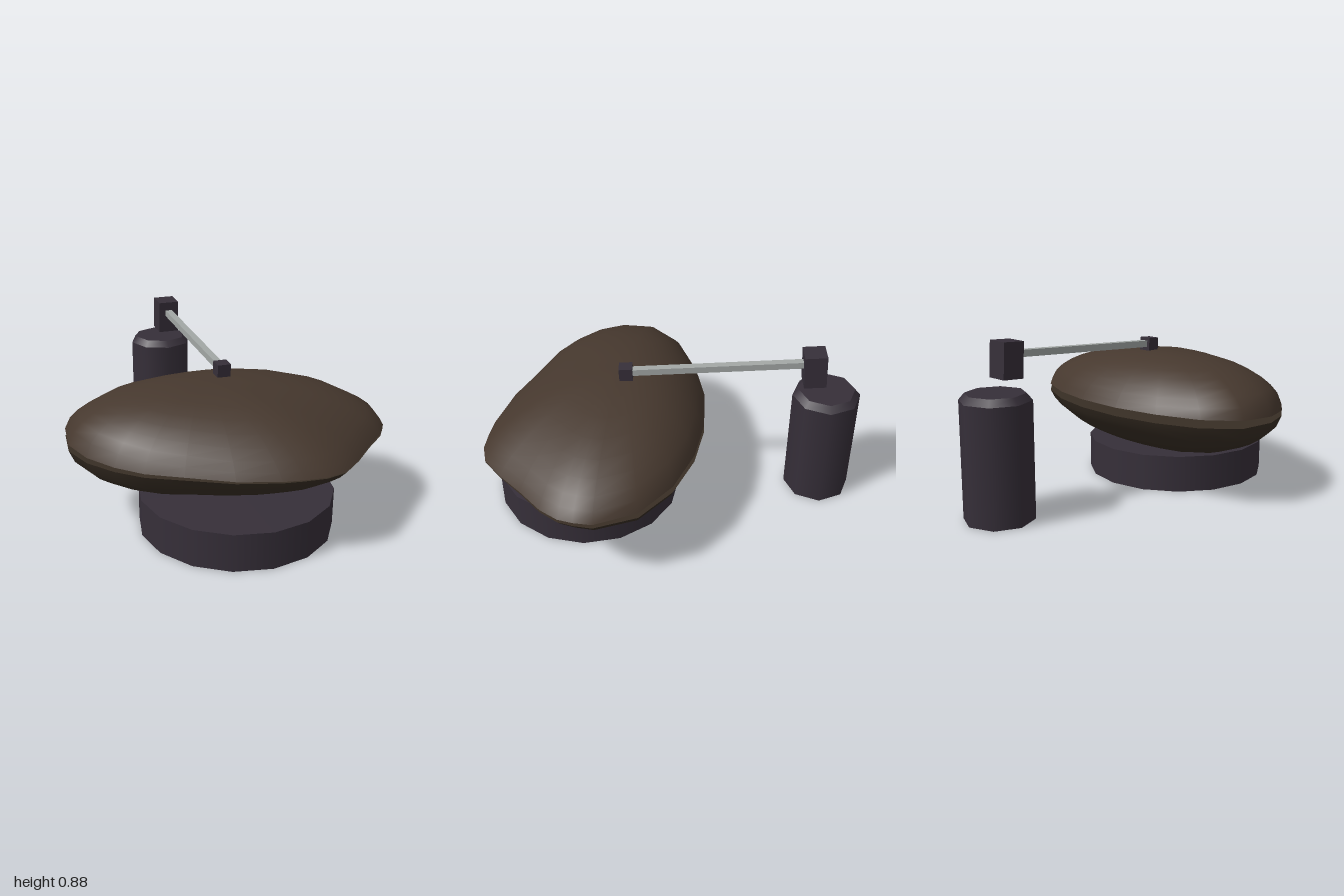
import * as THREE from 'three';

const mat = (name, color, side = THREE.FrontSide) => {
  const m = new THREE.MeshStandardMaterial({ color, side });
  m.name = name;
  return m;
};

// Shell rim in plan (x, z), running from the left end round the back
const RIM = [
  [-0.81, 0.16], [-0.76, -0.03], [-0.59, -0.155], [-0.35, -0.205], [-0.1, -0.21], [0.17, -0.16],
  [0.4, -0.07], [0.61, 0.07], [0.765, 0.26], [0.805, 0.48], [0.775, 0.57], [0.74, 0.64],
  [0.66, 0.72], [0.52, 0.81], [0.38, 0.91], [0.25, 0.985], [0.14, 0.995], [0.03, 0.97],
  [-0.07, 0.94], [-0.26, 0.85], [-0.45, 0.71], [-0.6, 0.6], [-0.7, 0.48], [-0.78, 0.33],
];
const APEX = [-0.11, 0.25];

// Domed half shell: rings shrinking from the rim to the apex, plus a flat closing face
function halfShell(name, height, rimY, material) {
  const n = RIM.length;
  const steps = [1, 0.96, 0.9, 0.82, 0.72, 0.6, 0.46, 0.3, 0.15];
  const up = height > 0;
  const pos = [];
  const index = [];
  const tri = (a, b, c) => (up ? index.push(a, b, c) : index.push(a, c, b));
  for (const t of steps) {
    for (const [x, z] of RIM) {
      const dx = x - APEX[0];
      const dz = z - APEX[1];
      const c2 = (dx * dx) / (dx * dx + dz * dz);
      const power = 0.85 - (dx > 0 ? 0.17 : 0.29) * c2;
      const pz = APEX[1] + dz * t;
      pos.push(APEX[0] + dx * t, rimY(pz) + height * Math.pow(1 - Math.pow(t, 2.4), power), pz);
    }
  }
  pos.push(APEX[0], rimY(APEX[1]) + height, APEX[1]);
  const top = steps.length * n;
  for (let r = 0; r < steps.length; r++) {
    for (let i = 0; i < n; i++) {
      const j = (i + 1) % n;
      const a = r * n + i;
      const b = r * n + j;
      if (r === steps.length - 1) tri(a, top, b);
      else {
        tri(a, a + n, b);
        tri(b, a + n, b + n);
      }
    }
  }
  // Closing face with its own vertices, so the rim stays sharp
  const cap = top + 1;
  for (const [x, z] of RIM) pos.push(x, rimY(z), z);
  pos.push(APEX[0], rimY(APEX[1]), APEX[1]);
  for (let i = 0; i < n; i++) tri(cap + i, cap + ((i + 1) % n), cap + n);

  const g = new THREE.BufferGeometry();
  g.setAttribute('position', new THREE.Float32BufferAttribute(pos, 3));
  g.setIndex(index);
  g.computeVertexNormals();
  const mesh = new THREE.Mesh(g, material);
  mesh.name = name;
  return mesh;
}

export function createModel() {
  const model = new THREE.Group();
  model.name = 'shellOnStand';
  const brown = mat('shellBrown', 0x46382e, THREE.DoubleSide);
  const darkBrown = mat('shellDarkBrown', 0x382e24, THREE.DoubleSide);
  const dark = mat('darkPlum', 0x362f39);
  const metal = mat('greyMetal', 0xa2a7a5);
  const yaw = THREE.MathUtils.degToRad(-8.5);

  const add = (parent, name, geometry, material, x, y, z) => {
    const m = new THREE.Mesh(geometry, material);
    m.name = name;
    m.position.set(x, y, z);
    parent.add(m);
    return m;
  };

  // Round base and rear post, turned with the arm
  const base = add(model, 'base', new THREE.CylinderGeometry(0.5, 0.5, 0.195, 16), dark, -0.03, 0.0975, 0.45);
  const post = add(model, 'post', new THREE.CylinderGeometry(0.18, 0.18, 0.6, 8), dark, 0.147, 0.3, -0.82);
  const bevel = add(model, 'postBevel', new THREE.CylinderGeometry(0.15, 0.18, 0.035, 8), dark, 0.147, 0.6175, -0.82);
  for (const m of [base, post, bevel]) m.rotation.y = yaw;

  // Two halves, the upper one slightly open at the back
  model.add(halfShell('lowerShell', -0.242, () => 0.437, darkBrown));
  model.add(halfShell('upperShell', 0.255, (z) => 0.442 + (1 - z) * 0.033, brown));

  // Arm from the shell top back to the block above the post
  const arm = new THREE.Group();
  arm.name = 'arm';
  arm.position.set(0.005, 0.753, 0.23);
  arm.rotation.set(THREE.MathUtils.degToRad(3.2), yaw, 0, 'YXZ');
  model.add(arm);
  add(arm, 'frontJoint', new THREE.BoxGeometry(0.07, 0.07, 0.07), dark, 0, 0, 0);
  add(arm, 'rod', new THREE.BoxGeometry(0.038, 0.035, 0.94), metal, 0, 0.002, -0.47);
  add(arm, 'rearBlock', new THREE.BoxGeometry(0.116, 0.182, 0.116), dark, 0, -0.023, -0.977);

  return model;
}
